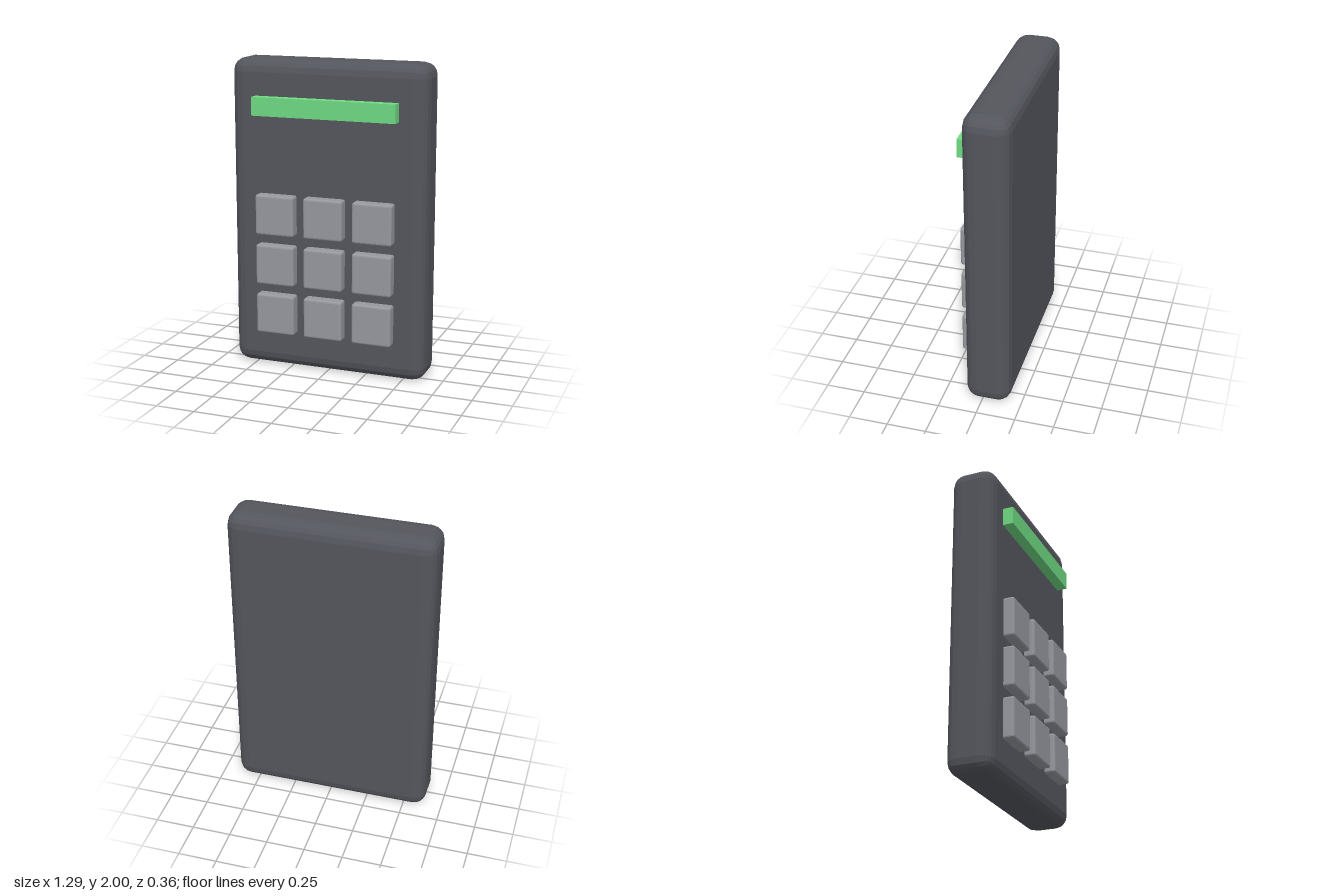
import * as THREE from 'three';
import { RoundedBoxGeometry } from 'three/addons/geometries/RoundedBoxGeometry.js';

function material(color) {
  return new THREE.MeshStandardMaterial({ color, flatShading: true });
}

function addPart(parent, name, geometry, mat, x, y, z) {
  const mesh = new THREE.Mesh(geometry, mat);
  mesh.name = name;
  mesh.position.set(x, y, z);
  parent.add(mesh);
  return mesh;
}

export function createModel() {
  const model = new THREE.Group();
  model.name = 'keypad';

  // Slab-shaped case with softly faceted edges
  addPart(model, 'case', new RoundedBoxGeometry(1.29, 2, 0.29, 2, 0.085),
    material(0x54565d), 0, 1, -0.035);

  // Raised display bar, sunk slightly into the case
  addPart(model, 'display', new THREE.BoxGeometry(0.94, 0.117, 0.13),
    material(0x70da82), -0.001, 1.71, 0.113);

  // Three by three grid of rounded keys
  const keys = new THREE.Group();
  keys.name = 'keys';
  model.add(keys);
  const keyGeometry = new RoundedBoxGeometry(0.257, 0.26, 0.13, 2, 0.015);
  const keyMaterial = material(0x96989f);
  for (let row = 0; row < 3; row++) {
    for (let col = 0; col < 3; col++) {
      addPart(keys, `keyRow${row + 1}Column${col + 1}`, keyGeometry, keyMaterial,
        -0.003 + (col - 1) * 0.324, 1.02 - row * 0.325, 0.113);
    }
  }

  return model;
}
